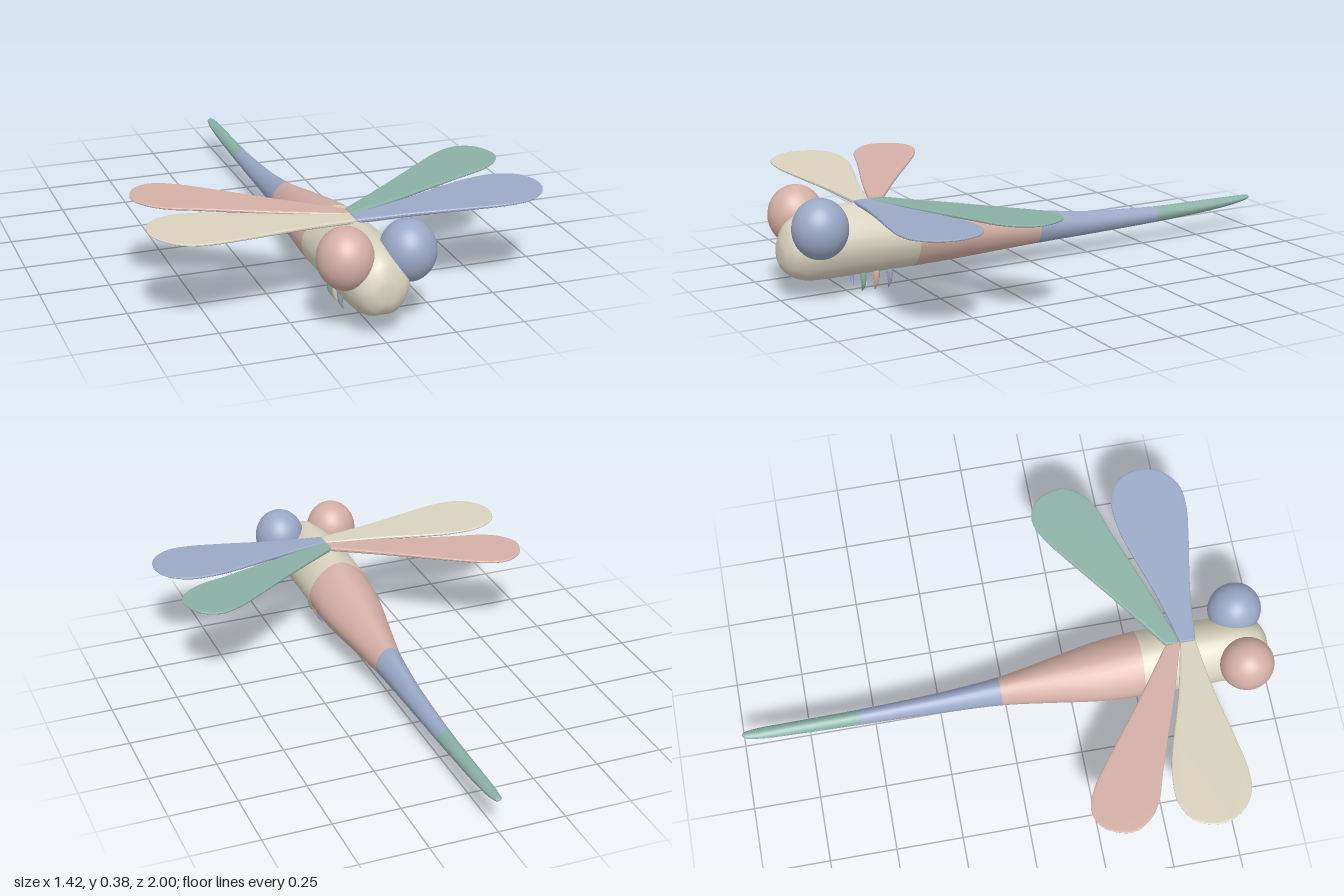
import * as THREE from 'three';

const mat = (name, color) => Object.assign(new THREE.MeshStandardMaterial({ color }), { name });

// One half of the egg-shaped cross-section: [x, height], bottom to top
const HALF = [[0, 0], [0.4, 0.01], [0.78, 0.16], [1, 0.42], [0.94, 0.62], [0.56, 0.87], [0, 1]];

// Body stations, nose to tail: [z, half width, bottom y, top y]
const STATIONS = [
  [1, 0, 0.17, 0.17], [0.995, 0.045, 0.13, 0.22], [0.97, 0.085, 0.095, 0.275],
  [0.92, 0.11, 0.075, 0.308], [0.85, 0.12, 0.07, 0.32], [0.7, 0.122, 0.07, 0.322],
  [0.51, 0.124, 0.07, 0.308], [0.35, 0.114, 0.071, 0.278], [0.15, 0.08, 0.073, 0.236],
  [-0.02, 0.053, 0.075, 0.199], [-0.25, 0.038, 0.077, 0.165], [-0.55, 0.029, 0.083, 0.144],
  [-0.8, 0.025, 0.095, 0.14], [-0.92, 0.022, 0.107, 0.138], [-0.985, 0.014, 0.119, 0.136],
  [-1, 0, 0.128, 0.128],
];
const SEAMS = [0, 6, 9, 11, 15]; // stations where the colour changes

function bodyGeometry() {
  const mirrored = HALF.slice(1, -1).reverse().map(([x, y]) => [-x, y]);
  const outline = new THREE.CatmullRomCurve3(
    [...HALF, ...mirrored].map(([x, y]) => new THREE.Vector3(x, y, 0)), true);
  const sides = 36, sub = 4, rings = (STATIONS.length - 1) * sub;
  const profile = Array.from({ length: sides }, (_, j) => outline.getPoint(j / sides));
  const lower = new THREE.CatmullRomCurve3(
    STATIONS.map(([z, w, b]) => new THREE.Vector3(z, w, b)), false, 'catmullrom', 0.4);
  const upper = new THREE.CatmullRomCurve3(
    STATIONS.map(([z, , , t]) => new THREE.Vector3(z, t, 0)), false, 'catmullrom', 0.4);
  const pos = [], index = [];
  for (let i = 0; i <= rings; i++) {
    const a = lower.getPoint(i / rings), top = upper.getPoint(i / rings).y;
    for (const p of profile) pos.push(p.x * a.y, a.z + p.y * (top - a.z), a.x);
  }
  for (let i = 0; i < rings; i++) {
    for (let j = 0; j < sides; j++) {
      const k = (j + 1) % sides;
      const a = i * sides + j, b = a + sides, c = i * sides + k, d = c + sides;
      index.push(a, b, c, c, b, d);
    }
  }
  const g = new THREE.BufferGeometry();
  g.setAttribute('position', new THREE.Float32BufferAttribute(pos, 3));
  g.setIndex(index);
  g.computeVertexNormals();
  const perStation = sub * sides * 6;
  for (let s = 0; s < 4; s++) {
    g.addGroup(SEAMS[s] * perStation, (SEAMS[s + 1] - SEAMS[s]) * perStation, s);
  }
  return g;
}

// Wing outlines as [x, z] from the root's rear corner round the tip
const FRONT_WING = [[0, 0.655], [0.2, 0.605], [0.4, 0.54], [0.5, 0.517], [0.6, 0.515],
  [0.68, 0.56], [0.709, 0.645], [0.685, 0.725], [0.62, 0.78], [0.53, 0.791], [0.4, 0.772],
  [0.2, 0.735], [0, 0.712]];
const REAR_WING = [[0, 0.6], [0.2, 0.455], [0.4, 0.302], [0.5, 0.232], [0.58, 0.206],
  [0.65, 0.238], [0.684, 0.325], [0.658, 0.395], [0.59, 0.45], [0.48, 0.488], [0.35, 0.535],
  [0.2, 0.59], [0, 0.655]];

function wingGeometry(points, side) {
  const pts = points.map(([x, z]) => new THREE.Vector2(side * x, -z));
  const shape = new THREE.Shape();
  shape.moveTo(pts[0].x, pts[0].y);
  shape.splineThru(pts.slice(1));
  shape.closePath();
  const g = new THREE.ExtrudeGeometry(shape, {
    depth: 0.006, bevelThickness: 0.005, bevelSize: 0.008, bevelOffset: -0.008,
    bevelSegments: 2, curveSegments: 48,
  });
  g.translate(0, 0, -0.003).rotateX(-Math.PI / 2);
  // Lift the wing towards its tip and thin it
  const p = g.attributes.position;
  for (let i = 0; i < p.count; i++) {
    const x = Math.abs(p.getX(i));
    p.setY(i, 0.323 + 0.042 * x + p.getY(i) * (1.1 - 0.9 * x));
  }
  g.computeVertexNormals();
  return g;
}

// Curved, tapering leg
function legGeometry(side, z) {
  const curve = new THREE.CatmullRomCurve3([[0.046, 0.095], [0.052, 0.06], [0.051, 0.03], [0.038, 0.004]]
    .map(([x, y]) => new THREE.Vector3(side * x, y, z)));
  const steps = 12, radial = 10;
  const g = new THREE.TubeGeometry(curve, steps, 0.013, radial, false);
  const p = g.attributes.position, v = new THREE.Vector3();
  for (let i = 0; i < p.count; i++) {
    const t = Math.floor(i / (radial + 1)) / steps;
    v.fromBufferAttribute(p, i).lerp(curve.getPointAt(t), 0.9 * t * t);
    p.setXYZ(i, v.x, v.y, v.z);
  }
  g.computeVertexNormals();
  return g;
}

export function createModel() {
  const cream = mat('cream', 0xd8d2be);
  const pink = mat('pink', 0xd4b0a6);
  const blue = mat('blue', 0x9aa9c6);
  const green = mat('green', 0x8bb0a5);
  const model = new THREE.Group();
  model.name = 'dragonfly';
  const add = (name, geometry, material) => {
    const m = new THREE.Mesh(geometry, material);
    m.name = name;
    model.add(m);
    return m;
  };

  // Body: head and thorax, abdomen, tail and tail tip
  add('body', bodyGeometry(), [cream, pink, blue, green]);

  // Eyes
  for (const [name, x, m] of [['rightEye', -0.107, pink], ['leftEye', 0.115, blue]]) {
    const eye = add(name, new THREE.SphereGeometry(1, 40, 28), m);
    eye.scale.set(0.097, 0.108, 0.1);
    eye.position.set(x, 0.277, 0.89);
  }

  // Wings
  add('leftFrontWing', wingGeometry(FRONT_WING, 1), blue);
  add('rightFrontWing', wingGeometry(FRONT_WING, -1), cream);
  add('leftRearWing', wingGeometry(REAR_WING, 1), green);
  add('rightRearWing', wingGeometry(REAR_WING, -1), pink);

  // Legs, front to rear
  const leftColours = [green, pink, blue], rightColours = [blue, cream, green];
  [0.705, 0.655, 0.602].forEach((z, i) => {
    add(`leftLeg${i + 1}`, legGeometry(1, z), leftColours[i]);
    add(`rightLeg${i + 1}`, legGeometry(-1, z), rightColours[i]);
  });
  return model;
}
